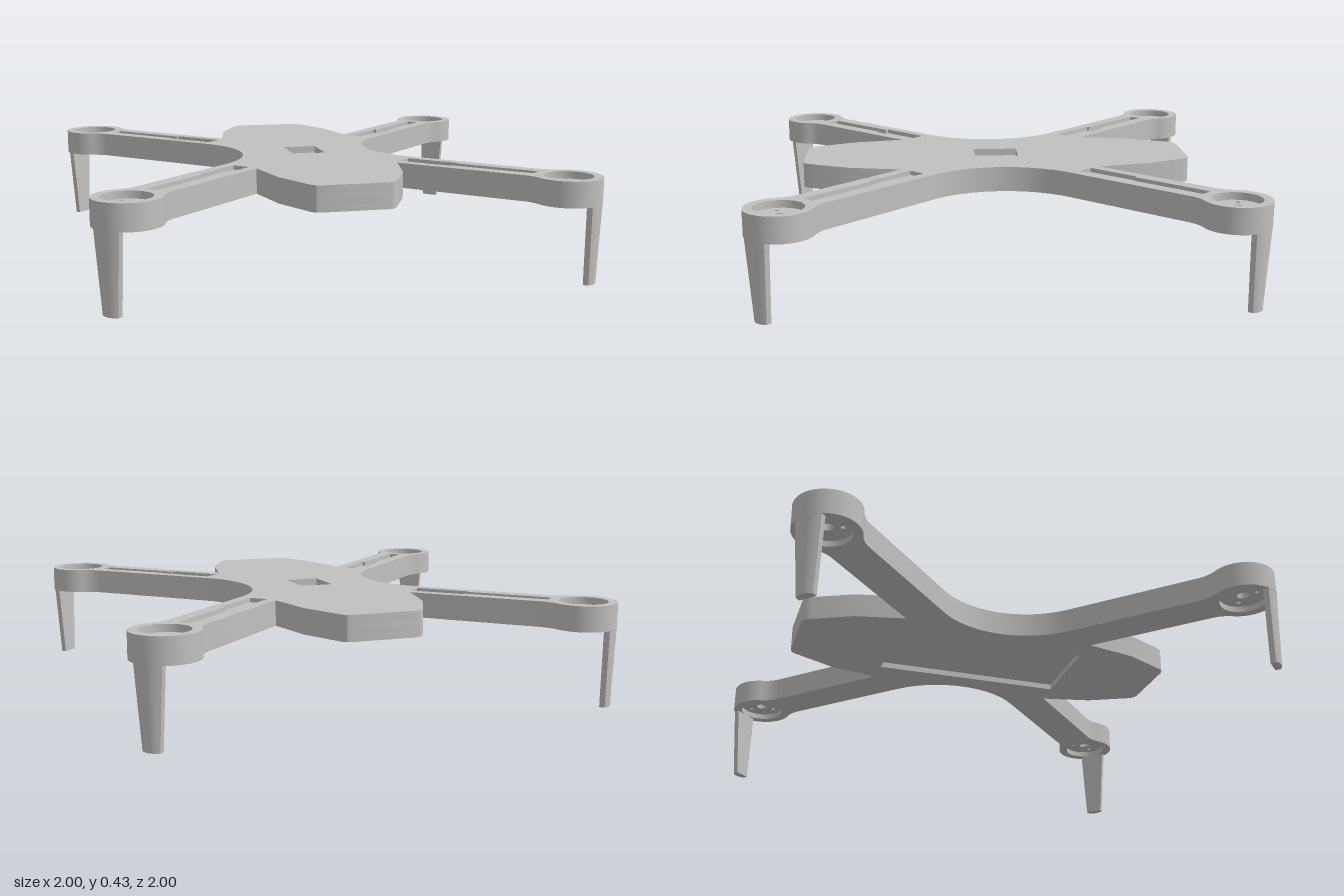
import * as THREE from 'three';
import { toCreasedNormals } from 'three/addons/utils/BufferGeometryUtils.js';

const TOP = 0.425, FLOOR = 0.395, CEILING = 0.345, BOTTOM = 0.32;
const M = 0.865;         // motor centre in x and z
const POD = 0.135;       // pod radius
const ARM = 0.085;       // half width of an arm
const S = Math.SQRT1_2;
const quadrants = [[1, 1], [-1, 1], [-1, -1], [1, -1]];

// points along an arc
function arc(cx, cy, r, a0, a1, n) {
  return Array.from({ length: n + 1 }, (_, i) => {
    const a = a0 + (a1 - a0) * i / n;
    return [cx + r * Math.cos(a), cy + r * Math.sin(a)];
  });
}

// arm frame: u from the motor to the middle, v across the arm
const fromArm = ([u, v]) => [M + (v - u) * S, M - (u + v) * S];

// a quarter of the frame outline, from the side waist to the nose
function quarterOutline() {
  const waistR = 0.398, f = 0.14, c = ARM + f;
  const U = Math.sqrt((POD + f) ** 2 - c * c);
  const phi = Math.atan2(c, U);
  const waist = arc(0.285 + waistR, 0, waistR, Math.PI, Math.PI * 0.75, 14);
  const fillet = arc(U, c, f, -Math.PI / 2, phi - Math.PI, 8);
  const pod = arc(0, 0, POD, phi, Math.PI * 2 - phi, 36).slice(1, -1);
  const filletBack = fillet.map(([u, v]) => [u, -v]).reverse();
  const nose = [[0.3, 0.42], [0.255, 0.635], [0.178, 0.8], [0.168, 0.82], [0.153, 0.833], [0.13, 0.838]];
  return [...waist, ...[...fillet, ...pod, ...filletBack].map(fromArm), ...nose];
}

function frameOutline() {
  const q = quarterOutline();
  const front = [...q, ...q.map(([x, z]) => [-x, z]).reverse()];
  const back = front.map(([x, z]) => [x, -z]).reverse().slice(1, -1);
  return [...front, ...back];
}

const toVectors = (pts) => pts.map(([x, z]) => new THREE.Vector2(x, z));
const mirrored = (pts, [sx, sz]) => pts.map(([x, z]) => [x * sx, z * sz]);
const circle = (x, z, r, n = 24) => arc(x, z, r, 0, Math.PI * 2, n).slice(0, -1);
const rect = (w, d) => [[-w, -d], [w, -d], [w, d], [-w, d]];

// horizontal plate between two heights with holes
function plate(outline, holes, y0, y1) {
  const shape = new THREE.Shape(toVectors(outline));
  for (const h of holes) shape.holes.push(new THREE.Path(toVectors(h)));
  const g = new THREE.ExtrudeGeometry(shape, { depth: y1 - y0, bevelEnabled: false });
  g.rotateX(Math.PI / 2);
  g.translate(0, y1, 0);
  return toCreasedNormals(g, 0.45);
}

// channel on top of an arm: a wide pocket leading into a narrow groove
function armChannel() {
  const inner = 0.497, step = 0.731, outer = 1.085, w = 0.039, n = 0.026;
  return [[inner, -w], [step, -w], [step, -n], [outer, -n], [outer, n], [step, n], [step, w], [inner, w]]
    .map(([d, v]) => [(d + v) * S, (d - v) * S]);
}

// tapering leg with a rounded outer face and a flat inner face
function legGeometry() {
  const inner = 0.097, half = Math.asin(0.06 / POD);
  const profile = [...arc(0, 0, POD - 0.001, -half, half, 12), [inner, 0.06], [inner, -0.06]];
  const g = plate(profile, [], 0, BOTTOM + 0.002);
  const p = g.attributes.position;
  for (let i = 0; i < p.count; i++) {
    if (p.getY(i) > 0.1) continue;
    p.setX(i, 0.088 + (p.getX(i) - inner) * 0.95);
    p.setZ(i, p.getZ(i) * 0.62);
  }
  return toCreasedNormals(g, 0.45);
}

export function createModel() {
  const model = new THREE.Group();
  model.name = 'quadcopterFrame';
  const grey = new THREE.MeshStandardMaterial({ color: 0xc0c0c0 });
  grey.name = 'light grey';

  const add = (name, geometry) => {
    const mesh = new THREE.Mesh(geometry, grey);
    mesh.name = name;
    model.add(mesh);
    return mesh;
  };

  // recesses and holes repeated at the four arms
  const topHoles = [rect(0.072, 0.095)];
  const midHoles = [];
  const lowHoles = [rect(0.19, 0.415)];
  for (const q of quadrants) {
    topHoles.push(mirrored(circle(M, M, 0.098, 36), q), mirrored(armChannel(), q));
    lowHoles.push(mirrored(circle(M, M, 0.097, 36), q));
    midHoles.push(mirrored(circle(M, M, 0.024), q));
    for (let i = 0; i < 3; i++) {
      const a = Math.PI / 4 + i * Math.PI * 2 / 3;
      midHoles.push(mirrored(circle(M + 0.061 * Math.cos(a), M + 0.061 * Math.sin(a), 0.01, 12), q));
    }
  }

  // frame in three layers
  const outline = frameOutline();
  add('topPlate', plate(outline, topHoles, FLOOR, TOP));
  add('middlePlate', plate(outline, midHoles, CEILING, FLOOR));
  add('bottomPlate', plate(outline, lowHoles, BOTTOM, CEILING));

  // legs and the raised floors of the wide arm pockets
  const leg = legGeometry();
  const pocketFloor = new THREE.BoxGeometry(0.234, 0.012, 0.078);
  quadrants.forEach(([sx, sz]) => {
    const turn = Math.atan2(-sz, sx);
    const l = add('leg', leg);
    l.position.set(M * sx, 0, M * sz);
    l.rotation.y = turn;
    const f = add('armPocketFloor', pocketFloor);
    f.position.set(0.614 * S * sx, FLOOR + 0.006, 0.614 * S * sz);
    f.rotation.y = turn;
  });
  return model;
}
